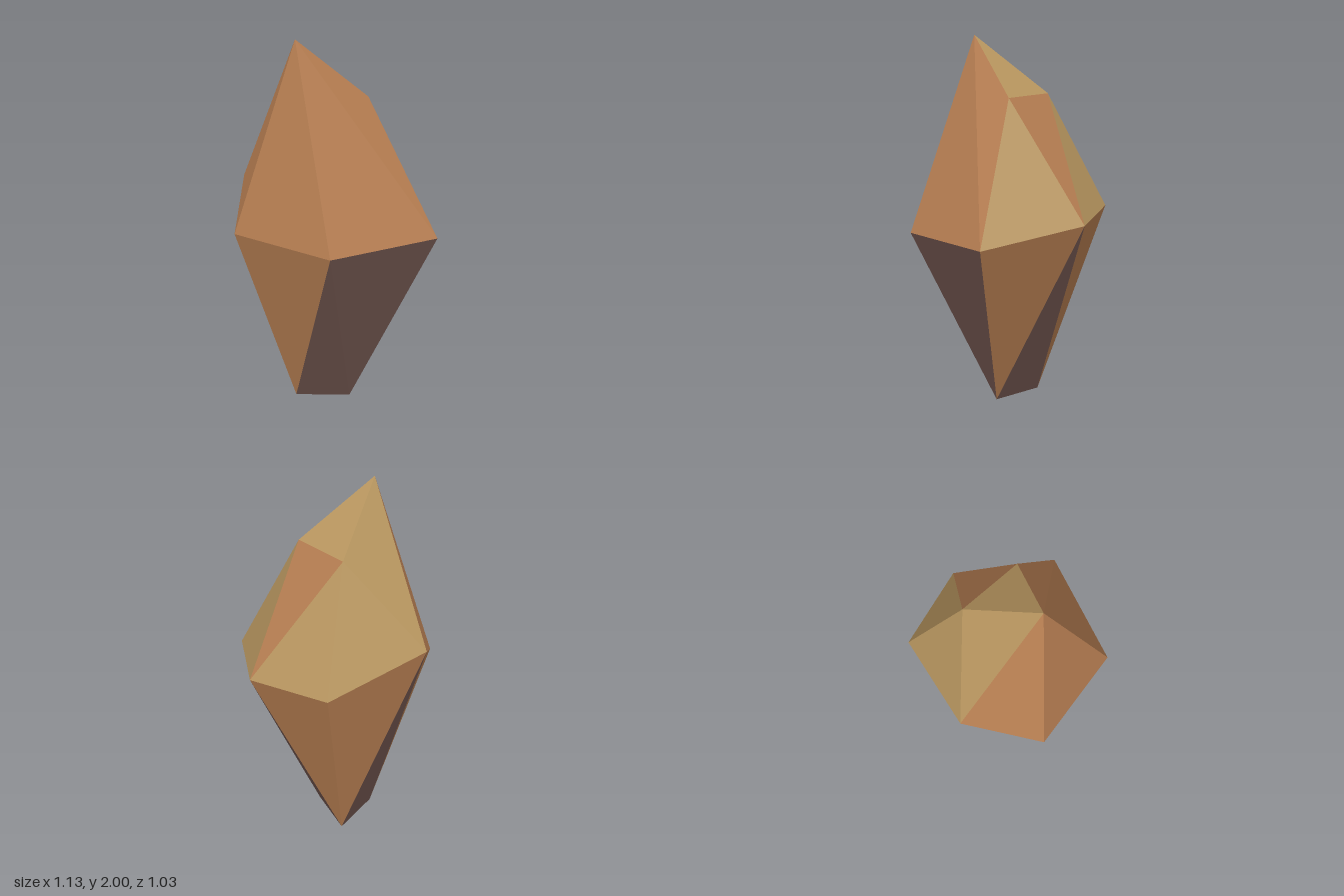
import * as THREE from 'three';

// Corners of the stone: crown (P Q R), girdle (A-F) and foot (S T U)
const corners = {
  P: [-0.16, 2.0, 0.21], Q: [0.16, 1.69, -0.03], R: [-0.155, 1.69, -0.195],
  A: [-0.21, 1.07, -0.515], B: [0.26, 1.05, -0.44], C: [0.565, 0.97, 0.05],
  D: [0.12, 0.95, 0.515], E: [-0.46, 0.99, 0.35], F: [-0.57, 1.21, -0.07],
  S: [-0.2, 0.01, 0.14], T: [0.085, 0.005, 0.05], U: [-0.14, 0, -0.15],
};
const centre = new THREE.Vector3(0, 1, 0);

const material = (name, color) => {
  const m = new THREE.MeshStandardMaterial({ color });
  m.name = name;
  return m;
};

// One mesh from a list of three-corner facets, each turned to face outward
function facets(name, list, mat) {
  const points = [];
  for (const face of list.split(' ')) {
    const v = [...face].map((k) => new THREE.Vector3(...corners[k]));
    const normal = new THREE.Triangle(...v).getNormal(new THREE.Vector3());
    if (normal.dot(v[0].clone().sub(centre)) < 0) v.reverse();
    points.push(...v);
  }
  const geometry = new THREE.BufferGeometry().setFromPoints(points);
  geometry.computeVertexNormals();
  const mesh = new THREE.Mesh(geometry, mat);
  mesh.name = name;
  return mesh;
}

export function createModel() {
  const group = new THREE.Group();
  group.name = 'facetedStone';
  const sand = material('sand', 0xb8965f);
  const copper = material('copper', 0xb87f52);
  const umber = material('umber', 0x735750);

  group.add(
    // Upper facets
    facets('crownSandFacets', 'PQR QBC RAB RFA PFR', sand),
    facets('crownCopperFacets', 'RQB PQC PCD PDE PEF', copper),
    // Lower facets, tapering to the small triangular foot
    facets('bodyCopperFacets', 'DES CTB BUA AUF FES', copper),
    facets('bodyUmberFacets', 'DST DTC BTU FUS STU', umber),
  );
  return group;
}
